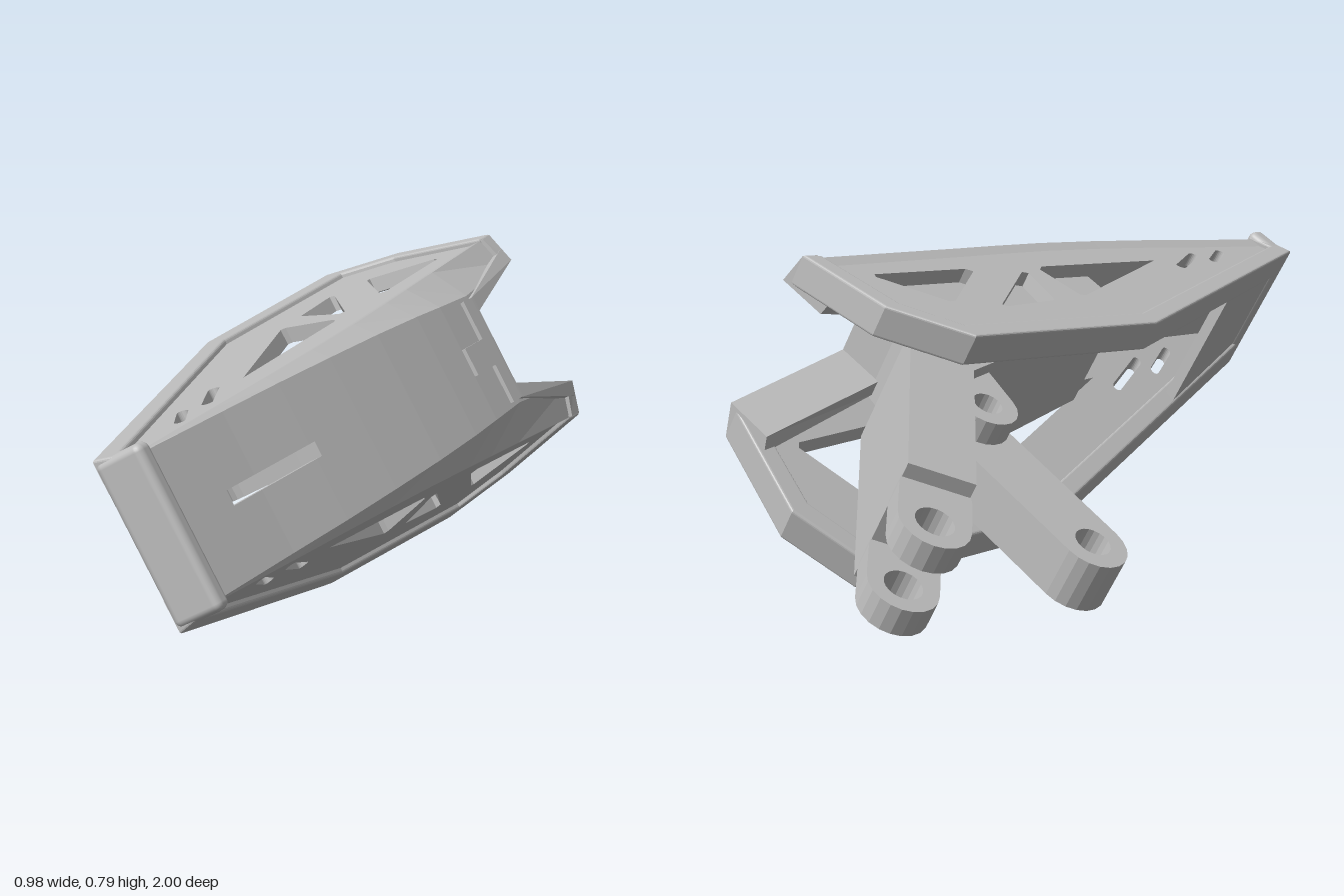
import * as THREE from 'three';
import { RoundedBoxGeometry } from 'three/addons/geometries/RoundedBoxGeometry.js';

const grey = new THREE.MeshStandardMaterial({ color: 0xbcbcbc });
grey.name = 'grey plastic';

// half width of the leaning side plates at height y and depth z
const half = (y, z) => 0.326 - 0.24 * (y - 0.34) - 0.082 * (z + 0.7);

// top cover stations: z, height of side fold, half width of flat top, height of flat top
const stations = [
  [1.0, 0.378, 0.17, 0.38], [0.95, 0.385, 0.17, 0.39], [0.7, 0.424, 0.17, 0.438],
  [0.5, 0.46, 0.17, 0.482], [0.3, 0.49, 0.168, 0.522], [0.1, 0.515, 0.165, 0.558],
  [-0.08, 0.53, 0.16, 0.585], [-0.2, 0.538, 0.155, 0.598],
  [-0.36, 0.55, 0.15, 0.605], [-0.76, 0.58, 0.15, 0.61],
];

function cover(z) {
  let i = 0;
  while (i < stations.length - 2 && z < stations[i + 1][0]) i++;
  const p = stations[i], q = stations[i + 1], t = (z - p[0]) / (q[0] - p[0]);
  const [fold, flat, top] = [1, 2, 3].map(k => p[k] + (q[k] - p[k]) * t);
  const edge = half(fold, z) - 0.006;
  const at = s => (s <= flat ? top : top + (fold - top) * (s - flat) / (edge - flat));
  return { edge, flat, at };
}

const v2 = list => list.map(([z, y]) => new THREE.Vector2(z, y));

// outline of a bar with round ends; p = q gives a circle
function capsule(p, q, r) {
  const a = Math.atan2(q[1] - p[1], q[0] - p[0]), pts = [], n = 10;
  for (const [c, start] of [[q, a - Math.PI / 2], [p, a + Math.PI / 2]])
    for (let i = 0; i <= n; i++) {
      const t = start + Math.PI * i / n;
      pts.push([c[0] + r * Math.cos(t), c[1] + r * Math.sin(t)]);
    }
  return pts;
}

// extrude a (z, y) outline inwards from the surface x = outer(y, z)
function slab(points, holes, depth, outer, bevel = 0) {
  const shape = new THREE.Shape(v2(points));
  holes.forEach(h => shape.holes.push(new THREE.Path(v2(h))));
  const g = new THREE.ExtrudeGeometry(shape, {
    depth: depth - 2 * bevel, bevelEnabled: bevel > 0, bevelSize: bevel,
    bevelThickness: bevel, bevelOffset: -bevel, bevelSegments: 3,
  });
  const p = g.attributes.position;
  for (let i = 0; i < p.count; i++) {
    const z = p.getX(i), y = p.getY(i), c = p.getZ(i) + bevel;
    p.setXYZ(i, outer(y, z) - c, y, z);
  }
  g.computeVertexNormals();
  return g;
}

// join loops (n outer points, then n inner points back) running towards -z
function loft(loops) {
  const pos = [], m = loops[0].length, n = m / 2;
  const quad = (a, b, c, d) => pos.push(...a, ...b, ...c, ...a, ...c, ...d);
  for (let k = 0; k < loops.length - 1; k++)
    for (let i = 0; i < m; i++) {
      const j = (i + 1) % m;
      quad(loops[k][i], loops[k + 1][i], loops[k + 1][j], loops[k][j]);
    }
  const A = loops[0], B = loops[loops.length - 1];
  for (let i = 0; i < n - 1; i++) {
    quad(A[i], A[i + 1], A[m - 2 - i], A[m - 1 - i]);
    quad(B[m - 1 - i], B[m - 2 - i], B[i + 1], B[i]);
  }
  const g = new THREE.BufferGeometry();
  g.setAttribute('position', new THREE.Float32BufferAttribute(pos, 3));
  g.computeVertexNormals();
  return g;
}

// strip of the cover from z0 back to z1, between half widths a(z) and b(z)
function strip(z0, z1, a, b, up, down) {
  const zs = [z0, ...stations.map(s => s[0]).filter(z => z < z0 - 0.001 && z > z1 + 0.001), z1];
  return loft(zs.map(z => {
    const c = cover(z), lo = a(z), hi = b ? b(z) : c.edge;
    const xs = [hi, Math.min(hi, Math.max(lo, c.flat)), lo];
    return [...xs.map(x => [x, c.at(x) + up, z]),
      ...xs.reverse().map(x => [x, c.at(x) - down, z])];
  }));
}

// mirrored copy across x = 0 with its faces turned the right way round
function mirrored(geometry) {
  const g = geometry.clone(), p = g.attributes.position;
  for (let i = 0; i < p.count; i += 3) {
    const [a, b, c] = [0, 1, 2].map(k => [-p.getX(i + k), p.getY(i + k), p.getZ(i + k)]);
    p.setXYZ(i, ...a); p.setXYZ(i + 1, ...c); p.setXYZ(i + 2, ...b);
  }
  g.computeVertexNormals();
  return g;
}

export function createModel() {
  const model = new THREE.Group();
  const body = new THREE.Group();
  body.name = 'guardAssembly';
  body.rotation.z = -Math.PI / 3;
  body.position.set(-0.156, 0.271, 0);
  model.add(body);

  const add = (name, geometry) => {
    const mesh = new THREE.Mesh(geometry, grey);
    mesh.name = name;
    body.add(mesh);
  };
  const addPair = (name, geometry) => {
    add(name + 'Left', geometry);
    add(name + 'Right', mirrored(geometry));
  };

  // side plates with triangular windows and slots
  const rimOuter = [[0.995, 0.39], [0.995, 0.28], [-0.05, 0.05], [-0.66, 0.13], [-0.757, 0.31], [-0.72, 0.587]];
  const rimInner = [[-0.672, 0.575], [-0.702, 0.315], [-0.635, 0.185], [-0.04, 0.105], [0.95, 0.325], [0.95, 0.39]];
  const fold = [[-0.7, 0.575], [-0.36, 0.55], [-0.2, 0.538], [0.1, 0.515], [0.5, 0.46], [0.96, 0.384]];
  const windows = [
    [[0.41, 0.358], [-0.03, 0.408], [-0.055, 0.395], [-0.085, 0.25], [-0.07, 0.243]],
    [[-0.115, 0.385], [-0.13, 0.395], [-0.385, 0.262], [-0.38, 0.25], [-0.2, 0.243]],
    [[-0.28, 0.43], [-0.29, 0.447], [-0.59, 0.478], [-0.6, 0.465], [-0.52, 0.31], [-0.5, 0.31]],
    capsule([0.64, 0.313], [0.73, 0.35], 0.013),
    capsule([0.47, 0.31], [0.6, 0.355], 0.013),
  ];
  const panelEdge = [[0.97, 0.3], [-0.045, 0.08], [-0.65, 0.16], [-0.73, 0.31], ...fold];
  addPair('sidePanel', slab(panelEdge, windows, 0.04, (y, z) => half(y, z) - 0.014));
  addPair('sideRim', slab([...rimOuter, ...rimInner], [], 0.083, half, 0.006));

  // top cover with a long slot and an open notch at the back
  const notch = z => 0.1 + 0.08 * Math.min(1, Math.max(0, (-0.36 - z) / 0.34));
  const centre = () => 0;
  addPair('coverNose', strip(0.97, 0.8, centre, null, 0, 0.035));
  addPair('coverBesideSlot', strip(0.8, 0.48, () => 0.018, null, 0, 0.035));
  addPair('coverMiddle', strip(0.48, -0.36, centre, null, 0, 0.035));
  addPair('coverRear', strip(-0.36, -0.71, notch, null, 0, 0.035));

  // raised border around the notch
  addPair('notchFrontRim', strip(-0.31, -0.37, centre, () => 0.14, 0.01, 0.13));
  addPair('notchSideRim', strip(-0.36, -0.72, notch, z => notch(z) + 0.04, 0.01, 0.12));
  addPair('notchPad', strip(-0.2, -0.32, centre, () => 0.036, 0.01, 0.03));
  addPair('rearRim', strip(-0.675, -0.72, notch, null, 0.01, 0.11));

  // nose cap and the short floor behind it
  const cap = new RoundedBoxGeometry(0.385, 0.124, 0.05, 3, 0.018);
  cap.translate(0, 0.338, 0.975);
  add('noseCap', cap);
  add('noseFloor', loft([[0.97, 0.285], [0.585, 0.197]].map(([z, y]) => {
    const w = half(y, z) - 0.04;
    return [[w, y + 0.03, z], [-w, y + 0.03, z], [-w, y, z], [w, y, z]];
  })));

  // lever with a round eye, hung between two pivot lugs
  const eye = [-0.5, -0.272], pivot = [-0.46, 0.14];
  add('lever', slab(capsule(eye, [-0.485, 0.14], 0.084), [capsule(eye, eye, 0.043)], 0.13, () => 0.065));
  addPair('pivotLug', slab(capsule(pivot, [-0.42, 0.3], 0.075), [capsule(pivot, pivot, 0.036)], 0.06, () => 0.125));

  // slanted mounting block and the base that carries it under the cover
  const dir = [0.72, 0.69], start = [-0.825, -0.035];
  const along = (t, w) => [start[0] + dir[0] * t - dir[1] * w, start[1] + dir[1] * t + dir[0] * w];
  add('mountBlock', slab([along(0, 0.078), along(0, -0.078), along(0.53, -0.078), along(0.53, 0.078)],
    [], 0.324, () => 0.162));
  add('mountBase', slab([[0.23, 0.29], [0.23, 0.5], [-0.36, 0.54], [-0.38, 0.45], [-0.45, 0.22], [-0.1, 0.25]],
    [], 0.31, () => 0.155));

  // pair of prongs with bolt eyes
  const bolt = [-0.915, -0.118];
  addPair('prong', slab(capsule(bolt, along(-0.02, 0), 0.083), [capsule(bolt, bolt, 0.045)], 0.07, () => 0.125));

  return model;
}
